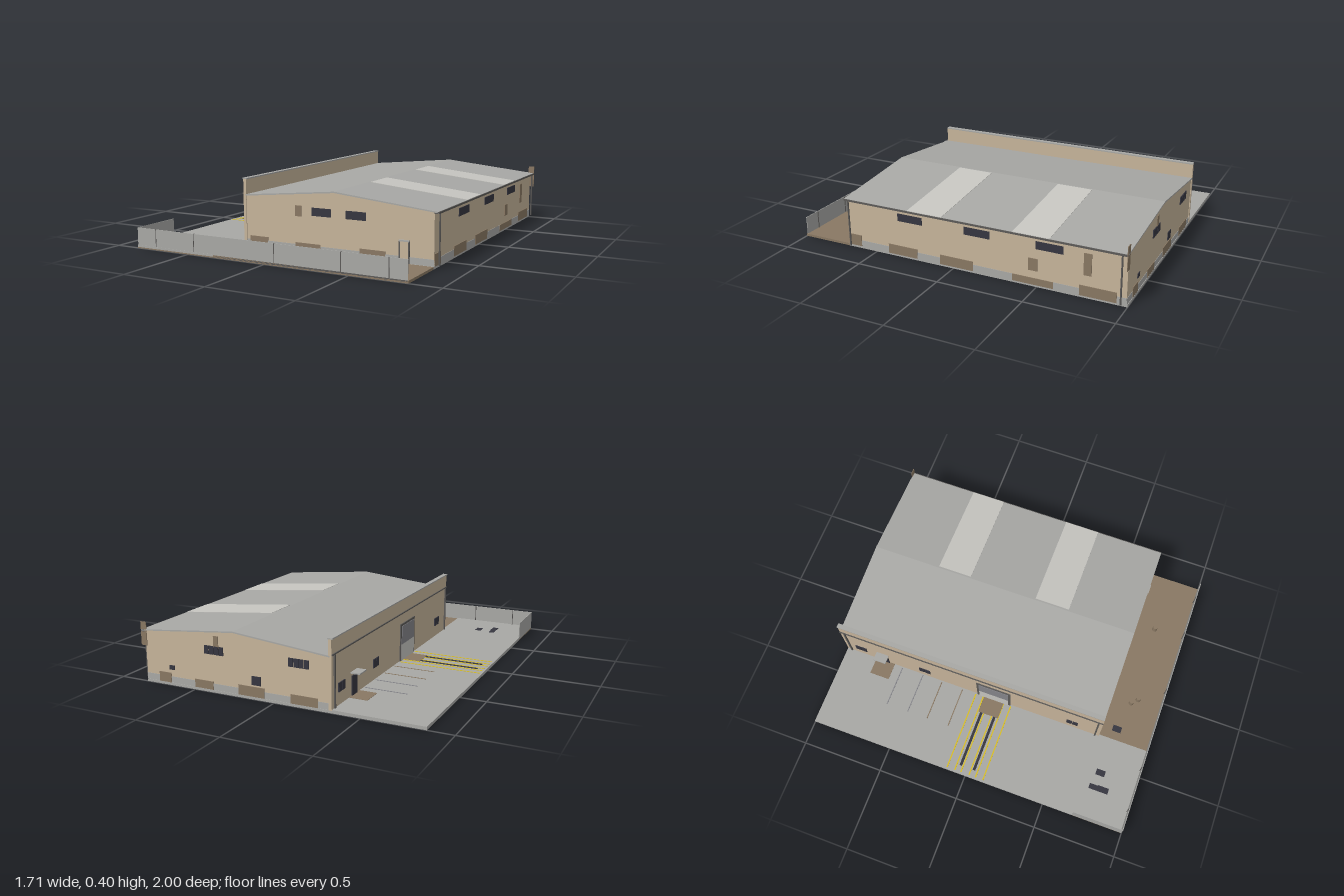
import * as THREE from 'three';

const colours = {
  wallTan: 0xc6b49a, metalGrey: 0xa8a8a5, skylightPale: 0xc6c5c0, glassDark: 0x363640,
  rustBrown: 0x897863, lineYellow: 0xd6bc28, steelDark: 0x5c5a58, doorGrey: 0x85858a,
};

export function createModel() {
  const model = new THREE.Group();
  const mat = {};
  for (const [name, color] of Object.entries(colours)) {
    mat[name] = new THREE.MeshStandardMaterial({ color });
    mat[name].name = name;
  }

  const add = (name, geometry, material) => {
    const mesh = new THREE.Mesh(geometry, mat[material]);
    mesh.name = name;
    model.add(mesh);
    return mesh;
  };
  // Box given by its limits on each axis
  const box = (name, material, x0, x1, y0, y1, z0, z1) => {
    const g = new THREE.BoxGeometry(x1 - x0, y1 - y0, z1 - z0);
    g.translate((x0 + x1) / 2, (y0 + y1) / 2, (z0 + z1) / 2);
    return add(name, g, material);
  };
  // Outline in x and y, drawn out from z0 to z1
  const prism = (name, material, points, z0, z1) => {
    const shape = new THREE.Shape(points.map(([x, y]) => new THREE.Vector2(x, y)));
    const g = new THREE.ExtrudeGeometry(shape, { depth: z1 - z0, bevelEnabled: false });
    g.translate(0, 0, z0);
    return add(name, g, material);
  };

  const W = -0.33, E = 0.825, B = -0.995, F = 0.685;

  // Thin plates laid on each wall: a0..a1 along the wall, y0..y1 up it
  const onFront = (n, m, a0, a1, y0, y1, d = 0.004) => box(n, m, a0, a1, y0, y1, F - 0.001, F + d);
  const onBack = (n, m, a0, a1, y0, y1, d = 0.004) => box(n, m, a0, a1, y0, y1, B - d, B + 0.001);
  const onEast = (n, m, a0, a1, y0, y1, d = 0.004) => box(n, m, E - 0.001, E + d, y0, y1, a0, a1);
  const onWest = (n, m, a0, a1, y0, y1, d = 0.004) => box(n, m, W - 0.012 - d, W - 0.009, y0, y1, a0, a1);
  const onYard = (n, m, x0, x1, z0, z1, h = 0.002) => box(n, m, x0, x1, 0.017, 0.018 + h, z0, z1);

  // Ground
  box('yardSlab', 'metalGrey', -0.855, W, 0.006, 0.018, -1, 1);
  box('foundation', 'metalGrey', W, E, 0, 0.014, -1, 0.69);
  box('yardBase', 'metalGrey', -0.855, W, 0, 0.006, -1, 0.69);
  box('dirtBase', 'rustBrown', -0.855, E, 0, 0.006, 0.69, 1);
  box('dirtStrip', 'rustBrown', W, E, 0.006, 0.014, 0.69, 1);

  // Hall with low gable
  prism('hallWalls', 'wallTan',
    [[W, 0.012], [E, 0.012], [E, 0.297], [0.245, 0.352], [W, 0.297]], B, F);
  prism('roof', 'metalGrey',
    [[W, 0.296], [0.245, 0.352], [0.846, 0.293], [0.846, 0.3], [0.245, 0.36], [W, 0.304]], -1, 0.69);
  for (const [z0, z1] of [[-0.58, -0.37], [0.055, 0.27]]) {
    prism('skylight', 'skylightPale',
      [[0.255, 0.358], [0.847, 0.299], [0.847, 0.302], [0.255, 0.361]], z0, z1);
  }

  // Parapet facade on the yard side
  box('parapetWall', 'wallTan', W - 0.01, W + 0.008, 0.012, 0.39, -1, 0.69);
  box('parapetCap', 'metalGrey', W - 0.016, W + 0.012, 0.39, 0.397, -1, 0.69);
  box('facadeLedge', 'steelDark', W - 0.016, W - 0.009, 0.305, 0.312, -1, 0.69);

  // Gutter and downpipes
  box('gutter', 'steelDark', 0.826, 0.851, 0.289, 0.299, -1, 0.69);
  for (const z of [0.664, -0.97]) {
    const pipe = new THREE.CylinderGeometry(0.005, 0.005, 0.275, 8);
    add('downpipe', pipe, 'steelDark').position.set(0.846, 0.155, z);
    onWest('facadePipe', 'steelDark', z - 0.005, z + 0.005, 0.018, 0.305, 0.006);
  }
  box('cornerRustPanel', 'rustBrown', 0.815, 0.852, 0.21, 0.345, -1, -0.996);

  // Concrete plinth
  onFront('plinth', 'metalGrey', W, E, 0.012, 0.05, 0.002);
  onBack('plinth', 'metalGrey', W, E, 0.012, 0.05, 0.002);
  onEast('plinth', 'metalGrey', B, F, 0.012, 0.05, 0.002);

  // Rust and dirt stains
  for (const [a0, a1, y0, y1] of [
    [0.6, 0.685, 0.014, 0.08], [0.227, 0.414, 0.012, 0.068], [-0.125, 0.08, 0.012, 0.068],
    [-0.596, -0.36, 0.012, 0.05], [-0.943, -0.74, 0.012, 0.07],
    [-0.505, -0.452, 0.093, 0.163], [-0.805, -0.762, 0.13, 0.253],
  ]) onEast('wallStain', 'rustBrown', a0, a1, y0, y1);
  for (const [a0, a1, y0, y1] of [
    [0, 0.04, 0.207, 0.267], [-0.3, -0.18, 0.012, 0.07], [0.0, 0.16, 0.012, 0.06], [0.4, 0.55, 0.012, 0.065],
  ]) onFront('wallStain', 'rustBrown', a0, a1, y0, y1);
  for (const [a0, a1, y0, y1] of [
    [0.66, 0.74, 0.012, 0.07], [0.38, 0.5, 0.012, 0.06], [0.06, 0.22, 0.012, 0.07],
    [-0.26, -0.1, 0.012, 0.065], [0.34, 0.37, 0.25, 0.32],
  ]) onBack('wallStain', 'rustBrown', a0, a1, y0, y1);

  // Windows
  for (const z of [0.268, -0.15, -0.572]) onEast('sideWindow', 'glassDark', z - 0.078, z + 0.078, 0.22, 0.264);
  for (const x of [0.166, 0.377]) onFront('frontWindow', 'glassDark', x - 0.06, x + 0.06, 0.217, 0.262);
  for (const x of [0.37, -0.15]) {
    for (let i = 0; i < 4; i++) {
      const a = x - 0.06 + i * 0.031;
      onBack('backWindowPane', 'glassDark', a, a + 0.027, 0.215, 0.262, 0.005);
    }
  }
  onBack('smallBackWindow', 'glassDark', 0.08, 0.135, 0.08, 0.13);
  onBack('backVent', 'glassDark', 0.635, 0.67, 0.09, 0.115);
  for (const z of [-0.89, -0.46, 0.51]) {
    for (const s of [-0.036, 0.002]) onWest('facadeWindowPane', 'glassDark', z + s, z + s + 0.034, 0.09, 0.14);
  }

  // Front door with frame
  onFront('frontDoor', 'wallTan', 0.637, 0.683, 0.014, 0.13, 0.005);
  onFront('doorFrameSide', 'steelDark', 0.63, 0.637, 0.014, 0.13, 0.008);
  onFront('doorFrameSide', 'steelDark', 0.683, 0.69, 0.014, 0.13, 0.008);
  onFront('doorFrameTop', 'metalGrey', 0.63, 0.69, 0.13, 0.138, 0.012);

  // Loading dock door, entrance door and canopy
  onWest('dockFrame', 'steelDark', -0.11, 0.11, 0.018, 0.245, 0.004);
  onWest('dockDoor', 'doorGrey', -0.095, 0.095, 0.12, 0.232, 0.007);
  onWest('dockDoorLower', 'skylightPale', -0.095, 0.095, 0.018, 0.12, 0.007);
  onWest('entranceDoor', 'glassDark', -0.77, -0.71, 0.018, 0.13);
  box('entranceCanopy', 'metalGrey', -0.395, -0.34, 0.145, 0.153, -0.78, -0.7);

  // Yard markings
  onYard('entranceMat', 'rustBrown', -0.447, -0.34, -0.8, -0.675);
  onYard('dockMat', 'rustBrown', -0.45, -0.34, -0.065, 0.065, 0.003);
  for (const z of [-0.12, -0.07, -0.03, 0.023, 0.065, 0.113]) {
    onYard('laneStripe', 'lineYellow', -0.843, Math.abs(z) < 0.06 ? -0.45 : -0.35, z - 0.004, z + 0.004);
  }
  for (const z of [-0.045, 0.041]) onYard('tyreTrack', 'glassDark', -0.805, -0.45, z - 0.008, z + 0.008);
  [-0.62, -0.48, -0.35, -0.21].forEach((z, i) => {
    onYard('parkingLine', i < 2 ? 'doorGrey' : 'rustBrown', -0.6, -0.35, z - 0.003, z + 0.003);
  });
  for (const [x0, x1, z0, z1] of [
    [-0.668, -0.636, 0.73, 0.78], [-0.668, -0.632, 0.78, 0.85], [-0.574, -0.537, 0.743, 0.8],
    [-0.278, -0.24, 0.755, 0.81],
  ]) {
    if (x0 > W) box('darkPatch', 'glassDark', x0, x1, 0.013, 0.017, z0, z1);
    else onYard('darkPatch', 'glassDark', x0, x1, z0, z1);
  }

  // Barrels on the dirt strip
  for (const [x, z] of [[-0.07, 0.815], [-0.035, 0.85], [0.455, 0.81]]) {
    const barrel = new THREE.CylinderGeometry(0.015, 0.015, 0.046, 16);
    add('barrel', barrel, 'rustBrown').position.set(x, 0.037, z);
  }

  // Sheet metal fence
  box('frontFence', 'metalGrey', -0.855, 0.82, 0.014, 0.118, 0.994, 0.998);
  box('sideFence', 'metalGrey', -0.855, -0.851, 0.014, 0.118, 0.69, 0.998);
  for (const x of [-0.724, -0.46, 0.06, 0.455, 0.72]) {
    box('fencePost', 'steelDark', x - 0.002, x + 0.002, 0.014, 0.118, 0.99, 0.999);
  }
  box('fenceFoot', 'steelDark', W, 0.82, 0.003, 0.014, 0.996, 1);

  return model;
}
